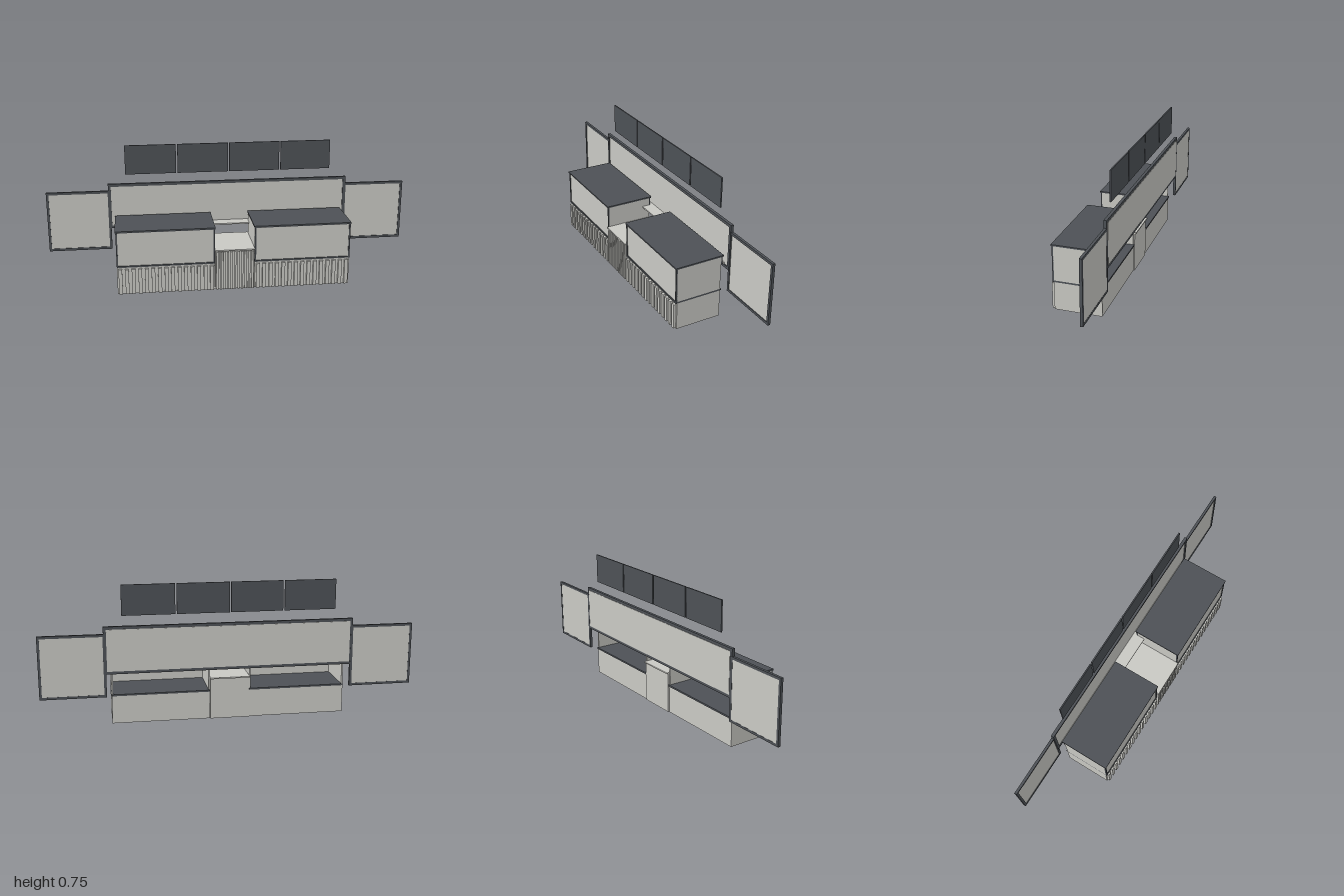
import * as THREE from 'three';

export function createModel() {
  const model = new THREE.Group();
  model.name = 'receptionDesk';

  const light = new THREE.MeshStandardMaterial({ color: 0xc9c9c4 });
  light.name = 'pale grey';
  const dark = new THREE.MeshStandardMaterial({ color: 0x4d5156 });
  dark.name = 'charcoal';

  // Box given by its limits on each axis
  function box(name, mat, x0, x1, y0, y1, z0, z1) {
    const mesh = new THREE.Mesh(new THREE.BoxGeometry(x1 - x0, y1 - y0, z1 - z0), mat);
    mesh.position.set((x0 + x1) / 2, (y0 + y1) / 2, (z0 + z1) / 2);
    mesh.name = name;
    model.add(mesh);
    return mesh;
  }

  // Rectangular border with an opening
  function frame(name, x0, x1, y0, y1, z0, z1, t) {
    const shape = new THREE.Shape();
    shape.moveTo(x0, y0).lineTo(x1, y0).lineTo(x1, y1).lineTo(x0, y1).closePath();
    const hole = new THREE.Path();
    hole.moveTo(x0 + t, y0 + t).lineTo(x0 + t, y1 - t).lineTo(x1 - t, y1 - t).lineTo(x1 - t, y0 + t).closePath();
    shape.holes.push(hole);
    const mesh = new THREE.Mesh(
      new THREE.ExtrudeGeometry(shape, { depth: z1 - z0, bevelEnabled: false }), dark);
    mesh.position.z = z0;
    mesh.name = name;
    model.add(mesh);
  }

  // Row of upright slats on the desk front
  function slats(name, x0, x1, y1, count, fill) {
    const pitch = (x1 - x0) / count;
    for (let i = 0; i < count; i++) {
      const c = x0 + (i + 0.5) * pitch;
      const w = pitch * fill / 2;
      box(name, light, c - w, c + w, 0.003, y1, 0.137, 0.152);
    }
  }

  // Two counters, each an open-backed cabinet on a slatted plinth
  for (const s of [-1, 1]) {
    const a = s < 0 ? -0.63 : 0.107;
    const b = s < 0 ? -0.107 : 0.63;
    box('plinth', light, a, b, 0, 0.151, -0.113, 0.138);
    slats('plinthSlat', a, b, 0.142, 15, 0.55);
    box('cabinetFloor', dark, a, b, 0.151, 0.16, -0.119, 0.138);
    box('cabinetFront', light, a + 0.005, b - 0.005, 0.16, 0.348, 0.13, 0.141);
    box('cabinetSide', light, a, a + 0.008, 0.16, 0.348, -0.112, 0.138);
    box('cabinetSide', light, b - 0.008, b, 0.16, 0.348, -0.112, 0.138);
    frame('cabinetFrontFrame', a, b, 0.151, 0.352, 0.137, 0.145, 0.008);
    box('cabinetRearRail', dark, a, b, 0.304, 0.348, -0.119, -0.111);
    box('cabinetTop', dark, a - 0.003, b + 0.003, 0.347, 0.355, -0.124, 0.149);
  }

  // Lower middle counter
  box('middleCounter', light, -0.105, 0.105, 0, 0.222, -0.119, 0.139);
  slats('middleSlat', -0.105, 0.105, 0.217, 11, 0.6);
  box('middleCounterTop', light, -0.107, 0.107, 0.222, 0.229, -0.128, 0.154);

  // Ledge running along the rear of the counters
  box('rearLedge', light, -0.622, 0.622, 0.297, 0.304, -0.138, -0.07);

  // Framed screens behind the desk
  frame('mainScreenFrame', -0.665, 0.665, 0.28, 0.533, -0.15, -0.134, 0.015);
  box('mainScreen', light, -0.65, 0.65, 0.295, 0.518, -0.152, -0.139);
  for (const s of [-1, 1]) {
    const a = s < 0 ? -1 : 0.655;
    const b = s < 0 ? -0.655 : 1;
    frame('sideScreenFrame', a, b, 0.158, 0.494, -0.151, -0.137, 0.013);
    box('sideScreen', light, a + 0.013, b - 0.013, 0.171, 0.481, -0.15, -0.141);
  }

  // Row of four hanging panels
  for (let i = 0; i < 4; i++) {
    const c = (i - 1.5) * 0.286;
    box('hangingPanel', dark, c - 0.139, c + 0.139, 0.586, 0.747, -0.14, -0.133);
  }

  return model;
}
